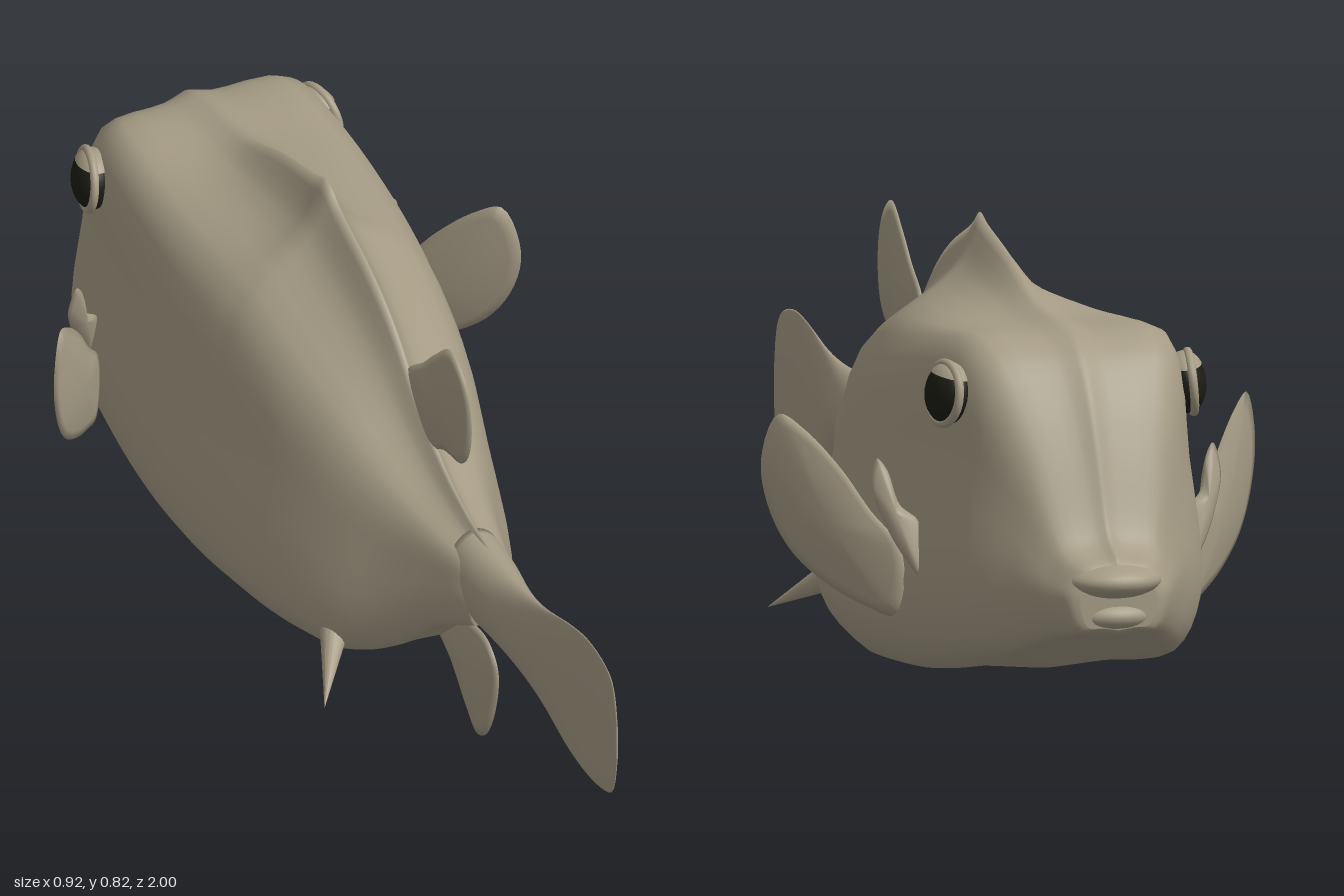
import * as THREE from 'three';

const V = (x, y, z) => new THREE.Vector3(x, y, z);

// Closed skin over a list of rings with equal point counts; ends are closed at their centres.
function loft(rings) {
  const n = rings[0].length;
  const collapse = (r) => {
    const c = r.reduce((s, p) => s.add(p), V(0, 0, 0)).divideScalar(n);
    return r.map(() => c);
  };
  const all = [collapse(rings[0]), ...rings, collapse(rings[rings.length - 1])];
  const pts = all.flat();
  const idx = [];
  for (let i = 0; i < all.length - 1; i++) {
    for (let j = 0; j < n; j++) {
      const a = i * n + j, b = i * n + (j + 1) % n;
      idx.push(a, a + n, b, b, a + n, b + n);
    }
  }
  // Turn the faces outward if the enclosed volume is negative.
  let volume = 0;
  for (let k = 0; k < idx.length; k += 3) {
    volume += pts[idx[k]].dot(pts[idx[k + 1]].clone().cross(pts[idx[k + 2]]));
  }
  if (volume < 0) idx.reverse();
  const g = new THREE.BufferGeometry().setFromPoints(pts);
  g.setIndex(idx);
  g.computeVertexNormals();
  return g;
}

// Smoothly interpolated rows of a station table.
function smoothRows(rows, steps) {
  const out = [];
  const at = (i) => rows[Math.max(0, Math.min(rows.length - 1, i))];
  for (let i = 0; i < rows.length - 1; i++) {
    for (let s = 0; s < steps; s++) {
      const t = s / steps;
      out.push(rows[i].map((p1, k) => {
        const p0 = at(i - 1)[k], p2 = at(i + 1)[k], p3 = at(i + 2)[k];
        return p1 + 0.5 * t * (p2 - p0 + t * (2 * p0 - 5 * p1 + 4 * p2 - p3 + t * (3 * (p1 - p2) + p3 - p0)));
      }));
    }
  }
  out.push(rows[rows.length - 1]);
  return out;
}

// Thin lens-shaped fin: outline in (u, v), placed in space by map(u, v, offset).
function fin(outline, thickness, map) {
  const curve = new THREE.CatmullRomCurve3(outline.map(([u, v]) => V(u, v, 0)), true, 'centripetal');
  const edge = curve.getPoints(56).slice(0, 56);
  const c = edge.reduce((s, p) => s.add(p), V(0, 0, 0)).divideScalar(edge.length);
  const ring = (s, side) => edge.map((p) =>
    map(c.x + (p.x - c.x) * s, c.y + (p.y - c.y) * s, side * thickness * (1 - s * s)));
  return loft([ring(0.3, 1), ring(0.6, 1), ring(0.85, 1), ring(1, 0), ring(0.85, -1), ring(0.6, -1), ring(0.3, -1)]);
}

// Body: z, ridge y, belly y, half width, shoulder x, shoulder y, y of greatest width
const BODY = [
  [-0.965, 0.285, 0.178, 0.07, 0.045, 0.272, 0.23],
  [-0.955, 0.305, 0.168, 0.092, 0.06, 0.288, 0.235],
  [-0.92, 0.328, 0.155, 0.113, 0.08, 0.305, 0.235],
  [-0.89, 0.37, 0.148, 0.13, 0.09, 0.34, 0.24],
  [-0.84, 0.495, 0.13, 0.163, 0.115, 0.45, 0.24],
  [-0.79, 0.59, 0.11, 0.197, 0.145, 0.545, 0.22],
  [-0.73, 0.655, 0.09, 0.228, 0.172, 0.625, 0.2],
  [-0.65, 0.68, 0.07, 0.25, 0.19, 0.658, 0.18],
  [-0.5, 0.7, 0.045, 0.265, 0.2, 0.648, 0.155],
  [-0.35, 0.76, 0.033, 0.272, 0.2, 0.63, 0.14],
  [-0.22, 0.798, 0.027, 0.266, 0.19, 0.615, 0.13],
  [-0.17, 0.815, 0.027, 0.262, 0.185, 0.605, 0.13],
  [-0.12, 0.785, 0.03, 0.256, 0.18, 0.595, 0.13],
  [0, 0.735, 0.04, 0.24, 0.165, 0.555, 0.13],
  [0.1, 0.67, 0.05, 0.215, 0.14, 0.515, 0.13],
  [0.2, 0.57, 0.07, 0.182, 0.11, 0.46, 0.14],
  [0.3, 0.495, 0.13, 0.132, 0.08, 0.42, 0.19],
  [0.4, 0.45, 0.225, 0.085, 0.055, 0.405, 0.28],
  [0.47, 0.435, 0.265, 0.062, 0.04, 0.4, 0.33],
  [0.5, 0.428, 0.28, 0.045, 0.03, 0.4, 0.34],
];

function bodyRing([z, top, belly, w, sx, sy, wy]) {
  const half = new THREE.CatmullRomCurve3([
    V(0, top, z),
    V(sx * 0.27, sy + (top - sy) * 0.53, z),
    V(sx, sy, z),
    V(sx + (w - sx) * 0.64, sy + (wy - sy) * 0.45, z),
    V(w, wy, z),
    V(w * 0.8, belly + (wy - belly) * 0.14, z),
    V(w * 0.4, belly + (wy - belly) * 0.08, z),
    V(0, belly, z),
  ], false, 'centripetal').getPoints(28);
  const mirrored = half.slice(1, -1).reverse().map((p) => V(-p.x, p.y, z));
  return [...half, ...mirrored];
}

// Tail: z, top y, bottom y, half width
const TAIL = [
  [0.42, 0.435, 0.27, 0.055], [0.5, 0.43, 0.275, 0.052], [0.6, 0.43, 0.265, 0.035],
  [0.7, 0.445, 0.24, 0.018], [0.8, 0.475, 0.205, 0.01], [0.88, 0.49, 0.195, 0.007],
  [0.95, 0.48, 0.205, 0.006], [0.985, 0.45, 0.23, 0.005], [1, 0.38, 0.3, 0.002],
];

function tailRing([z, top, bottom, w]) {
  return Array.from({ length: 32 }, (_, j) => {
    const a = j / 32 * Math.PI * 2;
    return V(w * Math.sin(a), (top + bottom) / 2 + (top - bottom) / 2 * Math.cos(a), z);
  });
}

const DORSAL = [[0.15, 0.6], [0.22, 0.67], [0.27, 0.72], [0.33, 0.765], [0.38, 0.74], [0.41, 0.68],
  [0.405, 0.59], [0.37, 0.545], [0.3, 0.53], [0.22, 0.49]];
const ANAL = [[0.34, 0.22], [0.41, 0.23], [0.48, 0.23], [0.52, 0.19], [0.51, 0.1], [0.47, 0.02],
  [0.43, 0], [0.39, 0.03], [0.33, 0.09], [0.26, 0.14], [0.27, 0.2]];
const PECTORAL = [[0.28, 0.155], [0.315, 0.168], [0.36, 0.195], [0.415, 0.25], [0.45, 0.33], [0.46, 0.42],
  [0.435, 0.5], [0.4, 0.475], [0.35, 0.41], [0.31, 0.34], [0.27, 0.28], [0.265, 0.2]];
const GILL = [[0.25, 0.23], [0.28, 0.27], [0.305, 0.32], [0.325, 0.39], [0.313, 0.44], [0.297, 0.42],
  [0.28, 0.36], [0.25, 0.33]];

export function createModel() {
  const model = new THREE.Group();
  model.name = 'fish';
  const skin = new THREE.MeshStandardMaterial({ color: 0xa59b85 });
  skin.name = 'skin';
  const black = new THREE.MeshStandardMaterial({ color: 0x1c1c14 });
  black.name = 'eye black';

  const add = (name, geometry, material = skin, parent = model) => {
    const mesh = new THREE.Mesh(geometry, material);
    mesh.name = name;
    parent.add(mesh);
    return mesh;
  };

  add('body', loft(smoothRows(BODY, 4).map(bodyRing)));
  add('tail', loft(smoothRows(TAIL, 4).map(tailRing)));

  // Lips
  const lip = (name, y, z, rx, ry, rz) =>
    add(name, new THREE.SphereGeometry(1, 32, 20).scale(rx, ry, rz).translate(0, y, z));
  lip('upperLip', 0.263, -0.93, 0.088, 0.033, 0.07);
  lip('lowerLip', 0.2, -0.915, 0.082, 0.032, 0.064);

  // Fins on the centre line
  const upright = (u, v, o) => V(o, v, u);
  add('dorsalFin', fin(DORSAL, 0.014, upright));
  add('analFin', fin(ANAL, 0.014, upright));

  for (const s of [1, -1]) {
    const side = s > 0 ? 'left' : 'right';

    // Side fins sweep back as they spread outward
    add(side + 'PectoralFin', fin(PECTORAL, 0.015, (u, v, o) =>
      V(s * (u + o * 0.7), v, -0.53 + (u - 0.28) * 1.1 - o * 0.7)));
    add(side + 'GillFlap', fin(GILL, 0.014, (u, v, o) =>
      V(s * (u + o * 0.3), v, -0.61 + (u - 0.26) * 0.3 + (v - 0.23) * 0.25 - o)));

    // Belly thorn
    const base = V(s * 0.15, 0.13, 0.17), tip = V(s * 0.24, 0.05, 0.31);
    const dir = tip.clone().sub(base);
    const thorn = add(side + 'Thorn', new THREE.ConeGeometry(0.03, dir.length(), 16));
    thorn.position.copy(base).lerp(tip, 0.5);
    thorn.quaternion.setFromUnitVectors(V(0, 1, 0), dir.normalize());

    // Eye with its rim and a lid over the top, facing outward and a little forward
    const eye = new THREE.Group();
    eye.name = side + 'Eye';
    eye.position.set(s * 0.222, 0.57, -0.668);
    eye.quaternion.setFromUnitVectors(V(0, 0, 1), V(s, 0.1, -0.22).normalize());
    model.add(eye);
    add('eyeball', new THREE.SphereGeometry(0.055, 28, 18).scale(1, 1, 0.65), black, eye);
    add('eyeRim', new THREE.TorusGeometry(0.054, 0.008, 12, 36), skin, eye).position.z = 0.008;
    add('upperLid', new THREE.SphereGeometry(0.057, 28, 8, 0, Math.PI * 2, 0, Math.PI * 0.3).scale(1, 1, 0.66), skin, eye);
  }
  return model;
}
